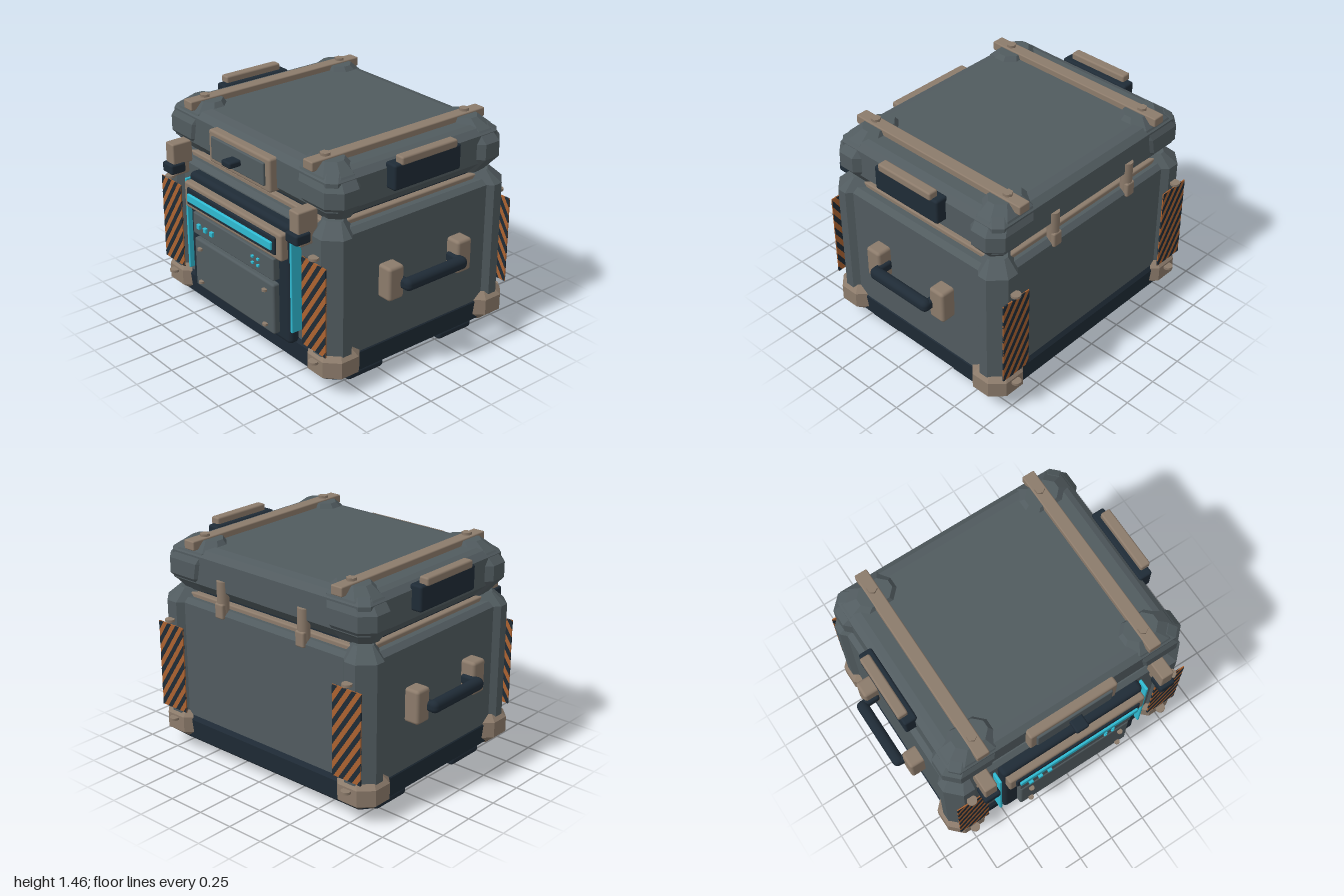
import * as THREE from 'three';
import { RoundedBoxGeometry } from 'three/addons/geometries/RoundedBoxGeometry.js';
import { ConvexGeometry } from 'three/addons/geometries/ConvexGeometry.js';

const mat = (name, color) => Object.assign(new THREE.MeshStandardMaterial({ color }), { name });

export function createModel() {
  const model = new THREE.Group();
  model.name = 'equipmentCrate';
  const grey = mat('slateGrey', 0x515b5f);
  const tan = mat('dustyTan', 0x8c7b6b);
  const dark = mat('darkNavy', 0x1f2b36);
  const cyan = mat('glowCyan', 0x2fbad2);
  const orange = mat('hazardOrange', 0xab6230);

  const ZC = -0.023; // centre of the crate shell in z

  const add = (name, geometry, material, x = 0, y = 0, z = 0) => {
    const m = new THREE.Mesh(geometry, material);
    m.name = name;
    m.position.set(x, y, z);
    model.add(m);
    return m;
  };
  // softened box given by its min and max on each axis
  const box = (name, material, x0, x1, y0, y1, z0, z1, r = 0.01) => {
    const w = x1 - x0, h = y1 - y0, d = z1 - z0;
    return add(name, new RoundedBoxGeometry(w, h, d, 2, Math.min(r, w / 2.01, h / 2.01, d / 2.01)),
      material, (x0 + x1) / 2, (y0 + y1) / 2, (z0 + z1) / 2);
  };
  // faceted solid from stacked rectangles with cut corners: [y, x0, x1, z0, z1, cut]
  const stack = (levels, sx = 1, sz = 1) => {
    const pts = [];
    for (const [y, x0, x1, z0, z1, c] of levels)
      for (const [x, z] of [[x0 + c, z0], [x1 - c, z0], [x1, z0 + c], [x1, z1 - c],
        [x1 - c, z1], [x0 + c, z1], [x0, z1 - c], [x0, z0 + c]])
        pts.push(new THREE.Vector3(sx * x, y, sz * z));
    return new ConvexGeometry(pts);
  };
  const centred = (levels) => stack(levels.map(([y, hx, hz, c]) => [y, -hx, hx, -hz, hz, c]));

  // main shell
  add('base', centred([[0.04, 0.77, 0.63, 0.04], [0.09, 0.83, 0.69, 0.05], [0.22, 0.84, 0.70, 0.05],
    [0.25, 0.82, 0.685, 0.05]]), dark, 0, 0, ZC);
  add('body', centred([[0.2, 0.835, 0.685, 0.04], [1.02, 0.835, 0.685, 0.04], [1.05, 0.80, 0.655, 0.04]]),
    grey, 0, 0, ZC);
  box('gasket', tan, -0.76, 0.76, 1.04, 1.078, ZC - 0.63, ZC + 0.63);
  box('lidNeck', dark, -0.72, 0.72, 1.05, 1.11, ZC - 0.59, ZC + 0.59);
  add('lid', centred([[1.09, 0.73, 0.595, 0.04], [1.17, 0.81, 0.675, 0.05], [1.35, 0.81, 0.675, 0.05],
    [1.385, 0.77, 0.635, 0.05], [1.40, 0.73, 0.58, 0.04]]), grey, 0, 0, ZC);

  // reinforced corners
  for (const sx of [1, -1]) for (const sz of [1, -1]) {
    add('cornerPost', stack([[0.2, 0.61, 0.87, 0.48, 0.723, 0.02], [1.02, 0.61, 0.87, 0.48, 0.723, 0.02],
      [1.1, 0.64, 0.79, 0.51, 0.645, 0.02]].map((l) => [...l.slice(0, 5), 0.09]).map((l, i) => i === 2 ? [...l.slice(0, 5), 0.06] : l), sx, sz),
      grey, 0, 0, ZC);
    add('cornerBumper', stack([[0.07, 0.62, 0.82, 0.48, 0.665, 0.06], [0.13, 0.585, 0.89, 0.45, 0.738, 0.08],
      [0.235, 0.585, 0.89, 0.45, 0.738, 0.08], [0.28, 0.61, 0.85, 0.48, 0.70, 0.07]], sx, sz), tan, 0, 0, ZC);
    add('lidCorner', stack([[1.09, 0.52, 0.76, 0.44, 0.61, 0.05], [1.2, 0.48, 0.85, 0.42, 0.693, 0.08],
      [1.30, 0.46, 0.85, 0.42, 0.693, 0.08], [1.37, 0.44, 0.79, 0.42, 0.66, 0.07],
      [1.43, 0.49, 0.71, 0.45, 0.60, 0.05]], sx, sz), grey, 0, 0, ZC);
    box('foot', dark, sx * 0.64 - 0.143, sx * 0.64 + 0.143, 0, 0.06,
      ZC + sz * 0.375 - 0.143, ZC + sz * 0.375 + 0.143, 0.025);
    add('strapBolt', new THREE.CylinderGeometry(0.032, 0.032, 0.03, 6).toNonIndexed(), tan,
      sx * 0.6, 1.442, ZC + sz * 0.548);
    for (const y of [0.9, 0.215])
      add('platePin', new THREE.CylinderGeometry(0.032, 0.032, 0.016, 16), tan,
        sx * 0.74, y, ZC + sz * (y < 0.5 ? 0.752 : 0.745));
  }

  // striped hazard plates
  const W = 0.218, H = 0.585, SLOPE = 1.5, BAND = 0.052;
  const clampY = (y) => Math.min(H, Math.max(0, y));
  const stripe = (b) => {
    const xs = [0, W];
    for (const o of [b, b + BAND]) for (const e of [0, H]) {
      const x = (e - o) / SLOPE;
      if (x > 0 && x < W) xs.push(x);
    }
    xs.sort((p, q) => p - q);
    const inside = xs.filter((x) => b + SLOPE * x <= H + 1e-6 && b + BAND + SLOPE * x >= -1e-6);
    const low = inside.map((x) => new THREE.Vector2(x - W / 2, clampY(b + SLOPE * x)));
    const high = inside.map((x) => new THREE.Vector2(x - W / 2, clampY(b + BAND + SLOPE * x)));
    const pts = [...low, ...high.reverse()].filter((p, i, a) => p.distanceTo(a[(i + 1) % a.length]) > 1e-5);
    return new THREE.ExtrudeGeometry(new THREE.Shape(pts), { depth: 0.0098, bevelEnabled: false });
  };
  for (const sx of [1, -1]) for (const sz of [1, -1]) {
    const plate = new THREE.Group();
    plate.name = 'hazardPlate';
    plate.position.set(sx * 0.736, 0.285, ZC + sz * 0.742);
    plate.rotation.y = sz > 0 ? 0 : Math.PI;
    const sheet = new THREE.Mesh(new THREE.BoxGeometry(W, H, 0.007), orange);
    sheet.name = 'plateSheet';
    sheet.position.y = H / 2;
    plate.add(sheet);
    for (let b = -0.34; b < H - 0.01; b += 0.108) {
      const s = new THREE.Mesh(stripe(b), dark);
      s.name = 'plateStripe';
      s.position.z = -0.0049;
      plate.add(s);
    }
    model.add(plate);
  }

  // parts mirrored left and right
  for (const s of [1, -1]) {
    const side = (name, m, x0, x1, ...rest) =>
      box(name, m, Math.min(s * x0, s * x1), Math.max(s * x0, s * x1), ...rest);
    side('lidStrap', tan, 0.56, 0.645, 1.38, 1.44, -0.705, 0.655, 0.008);
    // carrying handle
    side('handleBracket', tan, 0.82, 0.933, 0.545, 0.765, 0.195, 0.312, 0.02);
    side('handleBracket', tan, 0.82, 0.933, 0.545, 0.765, -0.357, -0.24, 0.02);
    side('handleBar', dark, 0.925, 1.0, 0.602, 0.685, -0.272, 0.225, 0.035);
    for (const z of [0.2, -0.245]) side('handleBarEnd', dark, 0.84, 0.97, 0.61, 0.677, z - 0.025, z + 0.025, 0.02);
    // lid side grip
    side('gripPad', dark, 0.79, 0.88, 1.222, 1.385, -0.283, 0.24, 0.015);
    side('gripCap', tan, 0.825, 0.892, 1.375, 1.428, -0.24, 0.195, 0.012);
    // front latch
    side('latchArm', tan, 0.593, 0.68, 1.03, 1.175, 0.64, 0.785, 0.01);
    side('latchFoot', tan, 0.603, 0.678, 0.955, 1.05, 0.66, 0.77, 0.01);
    side('latchCatch', dark, 0.583, 0.693, 0.975, 1.043, 0.70, 0.808, 0.014);
    // rear hinge
    add('hingeKnuckle', new THREE.CylinderGeometry(0.038, 0.038, 0.2, 16), tan, s * 0.335, 1.14, -0.685);
    side('hingeLeaf', tan, 0.3, 0.37, 1.0, 1.1, -0.728, -0.66, 0.012);
    side('lightStrip', cyan, 0.532, 0.55, 0.32, 0.955, 0.66, 0.738, 0.006);
  }

  // lid front plaque: frame, panel and knob
  box('plaqueFrame', tan, -0.31, 0.31, 1.142, 1.357, 0.62, 0.703, 0.015);
  box('plaquePanel', grey, -0.267, 0.267, 1.178, 1.325, 0.66, 0.718, 0.008);
  box('plaqueKnob', dark, -0.045, 0.045, 1.23, 1.27, 0.70, 0.80, 0.012);

  // front control panel
  box('panelBack', dark, -0.515, 0.515, 0.215, 1.012, 0.62, 0.728, 0.03);
  box('screenFrame', tan, -0.5, 0.5, 0.79, 0.965, 0.70, 0.775, 0.015);
  box('screenBezel', dark, -0.455, 0.455, 0.822, 0.937, 0.74, 0.788, 0.008);
  box('screenBar', cyan, -0.435, 0.435, 0.85, 0.905, 0.77, 0.803, 0.008);
  box('indicatorPanel', grey, -0.42, 0.42, 0.63, 0.778, 0.70, 0.772, 0.008);
  box('accessPanel', grey, -0.415, 0.415, 0.26, 0.602, 0.70, 0.772, 0.015);
  for (const x of [-0.345, -0.275, -0.205])
    box('indicatorLight', cyan, x - 0.015, x + 0.015, 0.685, 0.718, 0.76, 0.79, 0.004);
  for (const x of [0.22, 0.275]) for (const y of [0.68, 0.722])
    box('statusDot', cyan, x - 0.01, x + 0.01, y - 0.008, y + 0.008, 0.76, 0.785, 0.003);
  for (const x of [-0.34, 0.34]) for (const y of [0.545, 0.31])
    add('panelScrew', new THREE.CylinderGeometry(0.018, 0.018, 0.014, 12), tan, x, y, 0.782);

  return model;
}
